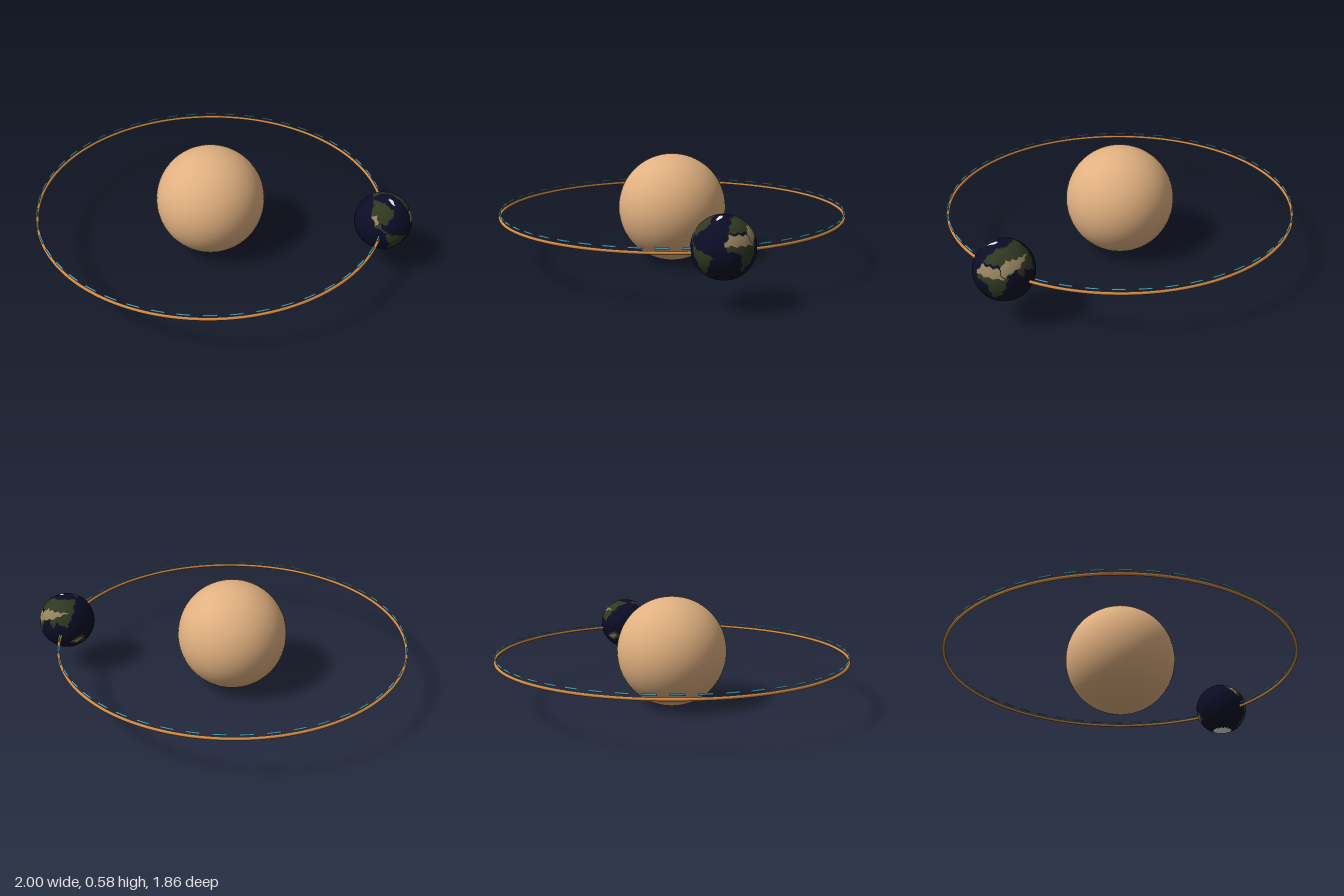
import * as THREE from 'three';

const mat = (name, color) => {
  const m = new THREE.MeshStandardMaterial({ color });
  m.name = name;
  return m;
};

// Coarse land outlines as [longitude, latitude] corners
const northAmerica = [[-166, 66], [-125, 71], [-85, 70], [-57, 52], [-81, 27], [-97, 28], [-79, 8], [-105, 20], [-124, 42], [-135, 58]];
const southAmerica = [[-79, 8], [-50, 1], [-35, -7], [-48, -26], [-68, -54], [-74, -48], [-71, -18], [-81, -5]];
const africa = [[-17, 15], [-8, 35], [32, 31], [51, 11], [38, -18], [20, -35], [10, 4], [-8, 5]];
const eurasia = [[-9, 37], [-4, 48], [15, 69], [105, 77], [180, 68], [140, 55], [122, 30], [106, 10], [90, 22], [78, 8], [68, 25], [45, 13], [36, 37]];
const australia = [[114, -24], [131, -12], [145, -13], [152, -32], [117, -35]];
const northAfricanDesert = [[-17, 15], [-8, 33], [32, 31], [43, 12]];
const asianDesert = [[35, 30], [45, 13], [57, 22], [72, 27], [115, 42], [48, 45]];
const americanDesert = [[-118, 36], [-104, 22], [-99, 32], [-108, 42]];
const australianDesert = [[117, -25], [131, -17], [142, -24], [130, -31]];
const greenland = [[-65, 79], [-25, 82], [-42, 61]];

// Even-odd test of a point against an outline
function inside(lon, lat, poly) {
  let hit = false;
  poly.forEach(([x1, y1], i) => {
    const [x2, y2] = poly[(i + 1) % poly.length];
    if ((y1 > lat) !== (y2 > lat) && lon < x1 + ((lat - y1) / (y2 - y1)) * (x2 - x1)) hit = !hit;
  });
  return hit;
}

// Material slot: 0 ocean, 1 green land, 2 sand, 3 ice; a small wobble makes the coasts irregular
function surfaceAt(lon, lat) {
  const x = lon + 2 * Math.sin(lat * 0.4), y = lat + 1.5 * Math.sin(lon * 0.35);
  const within = (...outlines) => outlines.some(p => inside(x, y, p));
  if (y < -69 || within(greenland)) return 3;
  if (within(northAfricanDesert, asianDesert, americanDesert, australianDesert)) return 2;
  return within(northAmerica, southAmerica, africa, eurasia, australia) ? 1 : 0;
}

// Sphere whose faces are sorted into one geometry group per surface
function globeGeometry(radius) {
  const geo = new THREE.SphereGeometry(radius, 180, 90);
  const index = geo.index.array, uv = geo.attributes.uv;
  const slots = [[], [], [], []];
  for (let i = 0; i < index.length; i += 3) {
    const face = [index[i], index[i + 1], index[i + 2]];
    const u = face.reduce((sum, k) => sum + uv.getX(k), 0) / 3;
    const v = face.reduce((sum, k) => sum + uv.getY(k), 0) / 3;
    slots[surfaceAt(u * 360 - 180, v * 180 - 90)].push(...face);
  }
  geo.setIndex(slots.flat());
  let start = 0;
  slots.forEach((list, slot) => {
    geo.addGroup(start, list.length, slot);
    start += list.length;
  });
  return geo;
}

export function createModel() {
  const group = new THREE.Group();
  const CX = -0.07, CY = 0.29, ORBIT = 0.92;
  const add = (name, geo, material, x, y, parent = group) => {
    const mesh = new THREE.Mesh(geo, material);
    mesh.name = name;
    mesh.position.set(x, y, 0);
    parent.add(mesh);
    return mesh;
  };

  // Central star
  add('star', new THREE.SphereGeometry(0.29, 64, 48), mat('starTan', 0xe0b080), CX, CY);

  // Planet with oceans, land and polar ice
  add('planet', globeGeometry(0.148), [
    mat('oceanNavy', 0x0c0c26), mat('landGreen', 0x2f3822), mat('desertSand', 0x96825f), mat('iceWhite', 0xe4e6e8),
  ], CX + ORBIT, CY);

  // Solid orbit ring
  const ring = new THREE.TorusGeometry(ORBIT, 0.008, 12, 160).rotateX(Math.PI / 2);
  add('orbitRing', ring, mat('ringOrange', 0xd08844), CX, 0.27);

  // Dashed orbit line just above the ring
  const dashes = new THREE.Group();
  dashes.name = 'orbitDashes';
  const COUNT = 48, step = (Math.PI * 2) / COUNT;
  const dashGeo = new THREE.TorusGeometry(ORBIT, 0.005, 8, 4, step * 0.55).rotateX(Math.PI / 2);
  const blue = mat('dashBlue', 0x4aa0bc);
  blue.side = THREE.DoubleSide;
  for (let i = 0; i < COUNT; i++) {
    add('orbitDash', dashGeo, blue, CX, 0.291, dashes).rotation.y = i * step;
  }
  group.add(dashes);
  return group;
}
